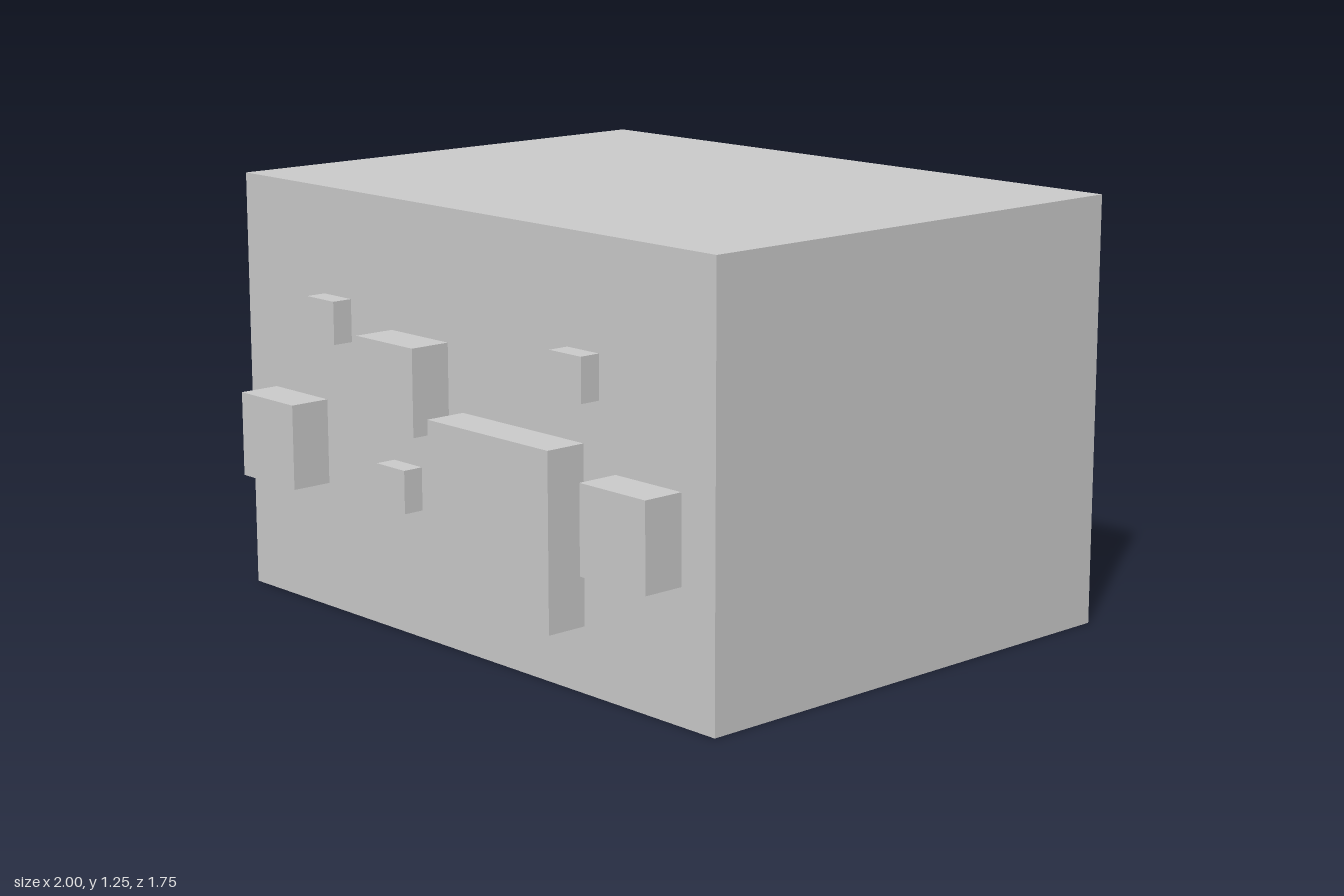
import * as THREE from 'three';

const U = 1 / 16; // modelling unit
const material = new THREE.MeshStandardMaterial({ color: 0xcccccc, flatShading: true });

// Box placed by its lower left back corner, all in modelling units
function block(name, x, y, z, w, h, d) {
  const mesh = new THREE.Mesh(new THREE.BoxGeometry(w * U, h * U, d * U), material);
  mesh.position.set((x + w / 2) * U, (y + h / 2) * U, (z + d / 2) * U);
  mesh.name = name;
  return mesh;
}

// Square knobs on a face: name, x, y, side, depth
const KNOBS = [
  ['smallKnobUpperRight', -10, 13, 2, 1],
  ['smallKnobUpperLeft', 7, 13, 2, 1],
  ['smallKnobCentre', -5, 6, 2, 1],
  ['mediumKnobCentre', -5, 10, 4, 2],
  ['mediumKnobRight', -14, 6, 4, 2],
  ['mediumKnobLeft', 10, 6, 4, 2],
  ['largePanel', 0, 3, 8, 2],
];

function knobFace(name) {
  const face = new THREE.Group();
  face.name = name;
  for (const [part, x, y, side, depth] of KNOBS) {
    face.add(block(part, x, y, 12, side, side, depth));
  }
  return face;
}

export function createModel() {
  const model = new THREE.Group();
  model.name = 'knobbedBlock';

  // Main body
  model.add(block('body', -16, 0, -12, 32, 20, 24));

  // The same knobs on the front and, turned half around, on the back
  const back = knobFace('backKnobs');
  back.rotation.y = Math.PI;
  model.add(knobFace('frontKnobs'), back);

  return model;
}
